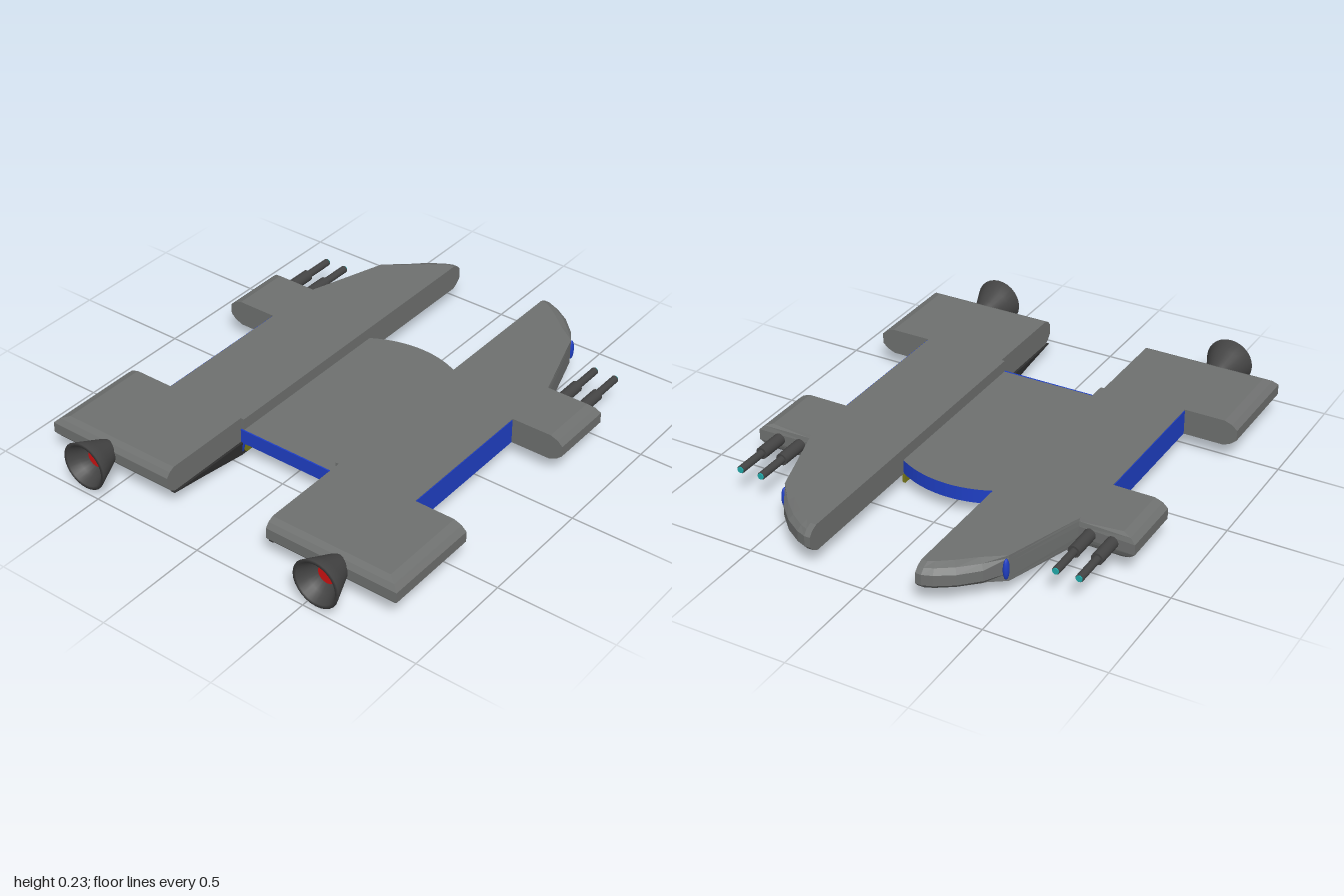
import * as THREE from 'three';

const mat = (color, side = THREE.FrontSide) => new THREE.MeshStandardMaterial({ color, side });
const hullGrey = mat(0x6e706f), dark = mat(0x444444), black = mat(0x303030), blue = mat(0x1f3fc4);
const red = mat(0xcc1111), cyan = mat(0x22aaaa), olive = mat(0x77771a);
const darkOpen = mat(0x444444, THREE.DoubleSide);

// Flat-shaded skin over equal rings of points; optional end caps in the xz plane
function loft(rings, capped) {
  const out = [];
  const tri = (...pts) => pts.forEach((p) => out.push(...p));
  for (let j = 0; j < rings.length - 1; j++) {
    const lo = rings[j], hi = rings[j + 1], n = lo.length;
    for (let i = 0; i < n; i++) {
      const k = (i + 1) % n;
      tri(lo[i], hi[i], hi[k]);
      tri(lo[i], hi[k], lo[k]);
    }
  }
  if (capped) {
    const cap = (ring, flip) => {
      const flat = ring.map((p) => new THREE.Vector2(p[0], p[2]));
      for (const [a, b, c] of THREE.ShapeUtils.triangulateShape(flat, [])) {
        if (flip) tri(ring[a], ring[c], ring[b]);
        else tri(ring[a], ring[b], ring[c]);
      }
    };
    cap(rings[0], false);
    cap(rings[rings.length - 1], true);
  }
  const g = new THREE.BufferGeometry();
  g.setAttribute('position', new THREE.Float32BufferAttribute(out, 3));
  g.computeVertexNormals();
  return g;
}

// Mirror in x, keeping the faces turned outward
function mirrored(source) {
  const g = source.index ? source.toNonIndexed() : source.clone();
  for (const a of Object.values(g.attributes)) {
    for (let i = 0; i < a.count; i += 3) {
      for (let c = 0; c < a.itemSize; c++) {
        const t = a.getComponent(i + 1, c);
        a.setComponent(i + 1, c, a.getComponent(i + 2, c));
        a.setComponent(i + 2, c, t);
      }
    }
  }
  for (const name of ['position', 'normal']) {
    const a = g.attributes[name];
    for (let i = 0; i < a.count; i++) a.setX(i, -a.getX(i));
  }
  return g;
}

const box = (w, h, d, x, y, z) => new THREE.BoxGeometry(w, h, d).translate(x, y, z);
// Cylinder along z between two depths
const rod = (r, z0, z1, x, y) =>
  new THREE.CylinderGeometry(r, r, Math.abs(z1 - z0), 16).rotateX(Math.PI / 2).translate(x, y, (z0 + z1) / 2);
// Lathe with its axis along z
const lathe = (pts, x, y) =>
  new THREE.LatheGeometry(pts.map((p) => new THREE.Vector2(...p)), 28).rotateX(Math.PI / 2).translate(x, y, 0);

export function createModel() {
  const model = new THREE.Group();
  const add = (name, geometry, material) => {
    const m = new THREE.Mesh(geometry, material);
    m.name = name;
    model.add(m);
  };
  const pair = (name, geometry, material) => {
    add(name + 'Left', geometry, material);
    add(name + 'Right', mirrored(geometry), material);
  };

  // Side hull: plan corner x, z and the inward shift of its rounded edge
  const plan = [
    [0.225, -1, 0, 0.045], [0.25, -1, 0, 0.045], [0.29, -0.985, -0.015, 0.045],
    [0.36, -0.94, -0.03, 0.04], [0.43, -0.87, -0.03, 0.03], [0.485, -0.78, 0, 0],
    [0.595, -0.45, 0, 0.01], [0.83, -0.46, -0.055, 0.02], [0.83, -0.18, -0.055, 0],
    [0.6, -0.18, 0, 0], [0.6, 0.46, 0, 0], [0.83, 0.46, -0.055, 0],
    [0.83, 0.885, -0.055, -0.04], [0.24, 0.885, 0, -0.04], [0.24, 0.455, 0, 0], [0.225, 0.455, 0, 0],
  ];
  const edge = [[0.07, 1], [0.085, 0.4], [0.105, 0], [0.15, 0], [0.17, 0.4], [0.182, 1]];
  pair('sideHull', loft(edge.map(([y, t]) => plan.map(([x, z, dx, dz]) => [x + dx * t, y, z + dz * t])), true), hullGrey);

  // Keel: z, lowest y, outer x
  const keel = [
    [0.86, 0.07, 0.25], [0.7, 0.045, 0.38], [0.46, 0.01, 0.46], [0.2, 0.01, 0.48],
    [-0.12, 0.01, 0.44], [-0.3, 0.05, 0.36], [-0.39, 0.066, 0.29], [-0.43, 0.07, 0.235],
  ];
  pair('keel', loft(keel.map(([z, y, x]) => [[0.23, 0.071, z], [0.235, y, z], [x, 0.071, z]])), black);
  pair('keelInnerStrip', box(0.012, 0.045, 0.8, 0.226, 0.05, 0.05), olive);
  pair('keelMarker', box(0.04, 0.03, 0.11, 0.36, 0.05, 0.285), blue);

  // Centre deck with a curved back end
  const deck = new THREE.Shape();
  deck.moveTo(-0.228, -0.455);
  deck.lineTo(0.228, -0.455);
  deck.lineTo(0.228, 0.35);
  deck.quadraticCurveTo(0.12, 0.415, 0, 0.415);
  deck.quadraticCurveTo(-0.12, 0.415, -0.228, 0.35);
  const deckGeometry = new THREE.ExtrudeGeometry(deck, { depth: 0.06, bevelEnabled: false, curveSegments: 10 });
  add('centreDeck', deckGeometry.rotateX(-Math.PI / 2).translate(0, 0.072, 0), [hullGrey, blue]);

  // Blue front plate with two short legs
  const plate = new THREE.Shape([
    [-0.238, 0.132], [-0.238, 0.01], [-0.222, 0.07], [0.222, 0.07], [0.238, 0.01], [0.238, 0.132],
  ].map((p) => new THREE.Vector2(...p)));
  add('frontPlate', new THREE.ExtrudeGeometry(plate, { depth: 0.008, bevelEnabled: false }).translate(0, 0, 0.453), blue);

  // Blue side panels and nose markers
  pair('sidePanel', box(0.008, 0.106, 0.63, 0.599, 0.127, 0.14), blue);
  pair('noseMarker', new THREE.SphereGeometry(1, 16, 12).scale(0.012, 0.045, 0.015).translate(0.48, 0.127, -0.792), blue);

  // Engine bells
  pair('engineBell', lathe([
    [0, 0.815], [0.018, 0.82], [0.035, 0.84], [0.055, 0.885], [0.08, 0.945], [0.103, 1],
    [0.088, 1], [0.07, 0.96], [0.045, 0.92], [0, 0.92],
  ], 0.56, 0.13), darkOpen);
  pair('engineGlow', rod(0.04, 0.915, 0.935, 0.56, 0.13), red);

  // Twin guns on each front wing
  for (const [name, x] of [['inner', 0.642], ['outer', 0.737]]) {
    pair(name + 'GunSleeve', rod(0.025, -0.44, -0.58, x, 0.13), dark);
    pair(name + 'GunBarrel', rod(0.016, -0.56, -0.717, x, 0.13), dark);
    pair(name + 'GunTip', rod(0.013, -0.71, -0.722, x, 0.13), cyan);
  }

  // Striped domes under the deck
  pair('domeBase', box(0.15, 0.012, 0.14, 0.105, 0.068, 0.3), dark);
  const bands = 7, step = Math.PI / 2 / bands;
  for (let i = 0; i < bands; i++) {
    const band = new THREE.SphereGeometry(0.058, 24, 2, 0, Math.PI * 2, Math.PI / 2 + i * step, step);
    pair('domeBand' + i, band.scale(1, 1.08, 1).translate(0.105, 0.0635, 0.3), i % 2 ? dark : red);
  }

  // Round hatch under the deck
  const disc = (r, h, y) => new THREE.CylinderGeometry(r, r, h, 32).translate(0, y, -0.11);
  add('hatchPlate', disc(0.11, 0.012, 0.068), dark);
  add('hatchRing', new THREE.TorusGeometry(0.075, 0.01, 8, 32).rotateX(Math.PI / 2).translate(0, 0.062, -0.11), red);
  add('hatchCore', disc(0.045, 0.02, 0.06), dark);

  return model;
}
